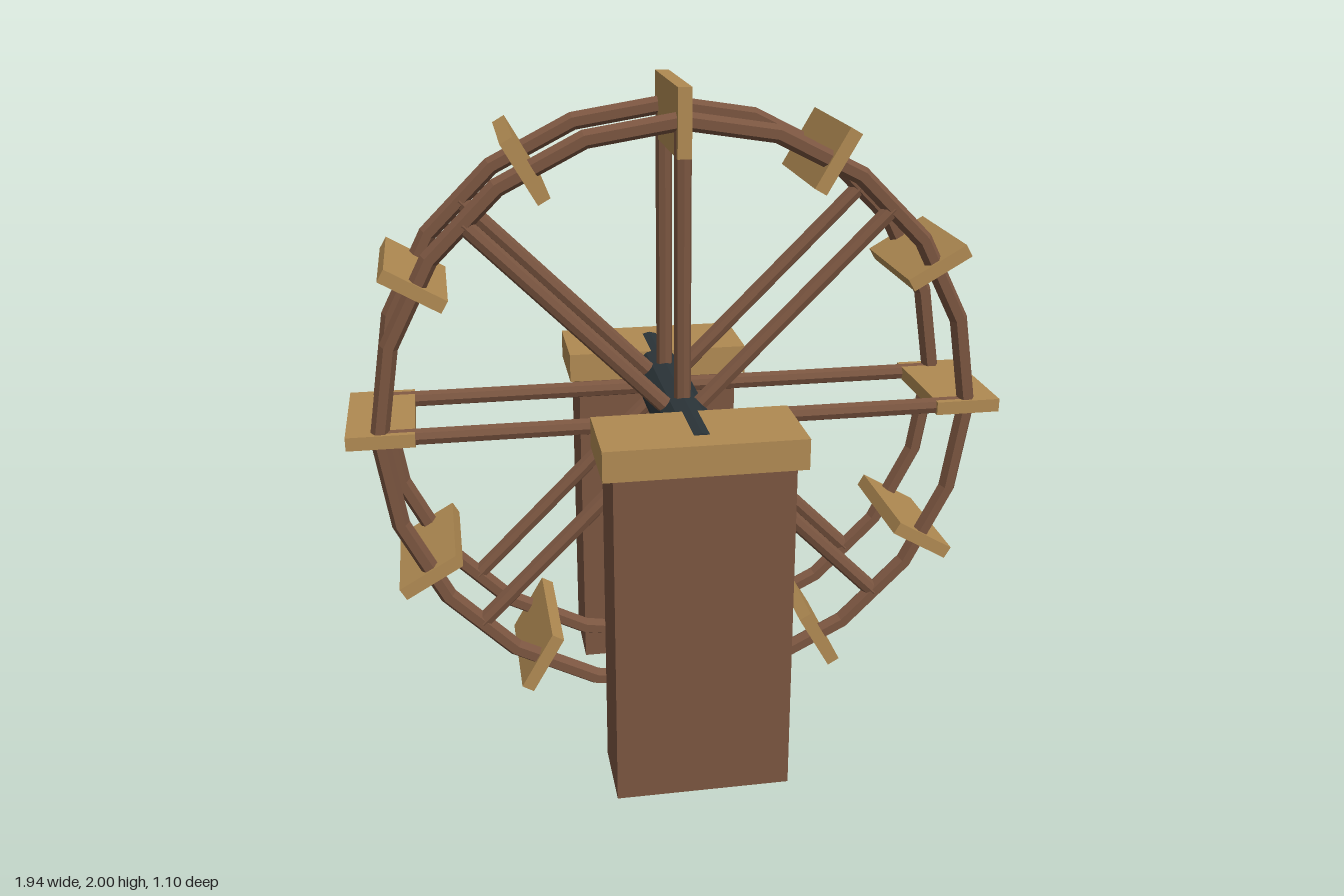
import * as THREE from 'three';

const mat = (color) => new THREE.MeshStandardMaterial({ color, flatShading: true });

export function createModel() {
  const model = new THREE.Group();
  model.name = 'waterWheel';
  const timber = mat(0x7a5540);
  const plank = mat(0xb08a52);
  const iron = mat(0x2b3439);

  const add = (parent, name, geometry, material, x = 0, y = 0, z = 0) => {
    const mesh = new THREE.Mesh(geometry, material);
    mesh.name = name;
    mesh.position.set(x, y, z);
    parent.add(mesh);
    return mesh;
  };

  // Wheel, built around its own centre
  const wheel = new THREE.Group();
  wheel.name = 'wheel';
  wheel.position.y = 1.027;
  model.add(wheel);

  // Axle, just breaking through the tops of the caps
  add(wheel, 'axle', new THREE.CylinderGeometry(0.08, 0.08, 0.945, 12).rotateX(Math.PI / 2), iron);

  // Two rims, each with eight spokes
  const rimGeo = new THREE.TorusGeometry(0.875, 0.027, 6, 20);
  const spokeGeo = new THREE.CylinderGeometry(0.025, 0.025, 0.865, 8).translate(0, 0.4325, 0);
  for (const z of [-0.162, 0.162]) {
    add(wheel, 'rim', rimGeo, timber, 0, 0, z);
    for (let i = 0; i < 8; i++) {
      add(wheel, 'spoke', spokeGeo, timber, 0, 0, z).rotation.z = (i * Math.PI) / 4;
    }
  }

  // Twelve paddles standing out radially across both rims
  const paddleGeo = new THREE.BoxGeometry(0.04, 0.195, 0.388).translate(0, 0.872, 0);
  for (let i = 0; i < 12; i++) {
    add(wheel, 'paddle', paddleGeo, plank).rotation.z = (i * Math.PI) / 6;
  }

  // Supporting pillars with overhanging caps
  for (const s of [-1, 1]) {
    add(model, 'pillar', new THREE.BoxGeometry(0.51, 1.01, 0.235), timber, 0, 0.505, s * 0.417);
    add(model, 'pillarCap', new THREE.BoxGeometry(0.57, 0.09, 0.268), plank, 0, 1.056, s * 0.417);
  }

  return model;
}
